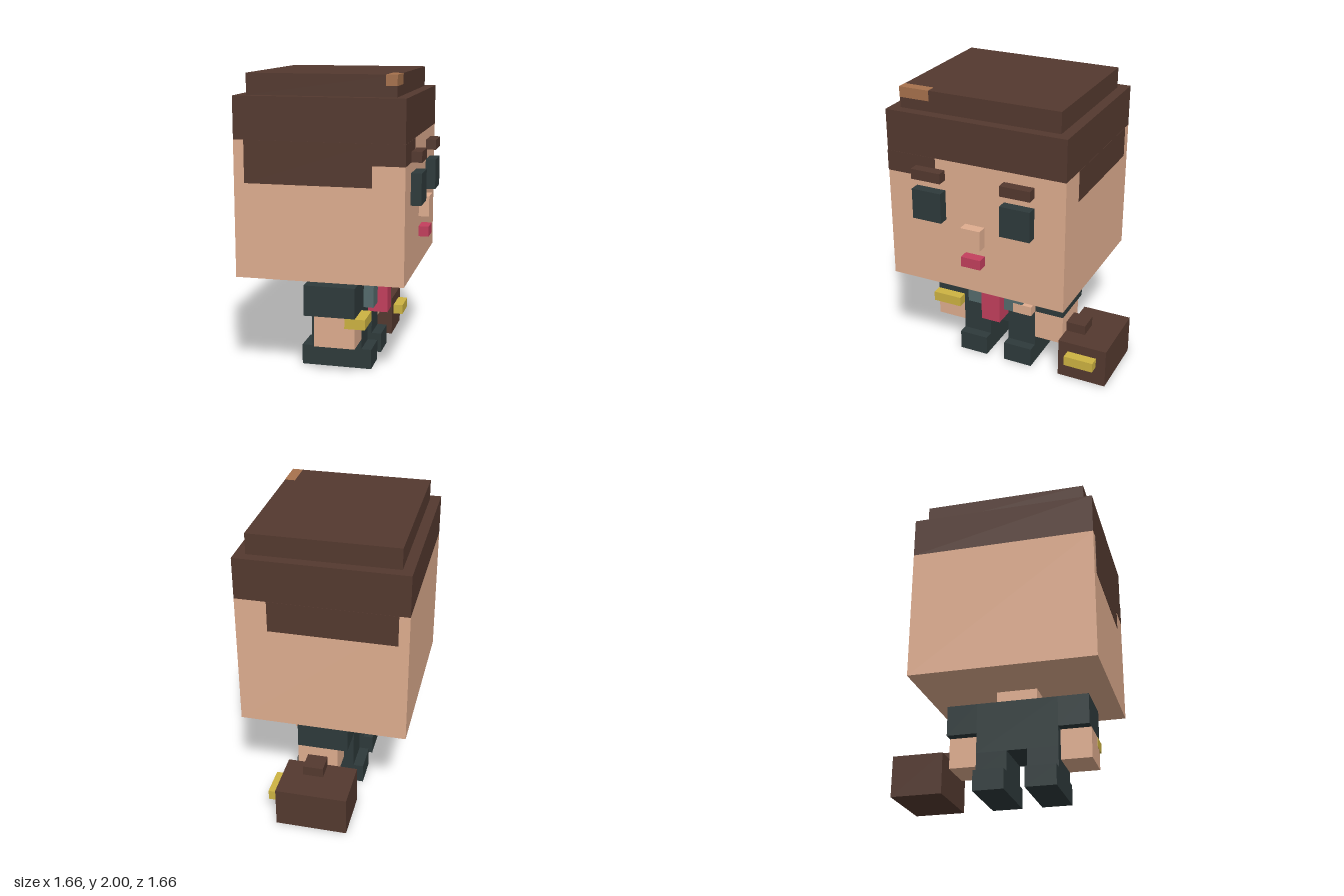
import * as THREE from 'three';

export function createModel() {
  const mat = (name, color) => {
    const m = new THREE.MeshStandardMaterial({ color });
    m.name = name;
    return m;
  };
  const skin = mat('skin', 0xdfad8f);
  const brown = mat('darkBrown', 0x54392f);
  const streak = mat('hairStreak', 0xa7724d);
  const suit = mat('suit', 0x2e3a3b);
  const lapelMat = mat('lapel', 0x556b6d);
  const red = mat('red', 0xc33f5d);
  const gold = mat('gold', 0xcdb342);

  // Figure is laid out on a block grid: 29 blocks tall, turned 45 degrees
  const figure = new THREE.Group();
  figure.name = 'figure';
  figure.scale.setScalar(2 / 29);
  figure.rotation.y = Math.PI / 4;

  // Box from its min and max along each axis
  const box = (name, material, [x0, x1], [y0, y1], [z0, z1]) => {
    const mesh = new THREE.Mesh(new THREE.BoxGeometry(x1 - x0, y1 - y0, z1 - z0), material);
    mesh.position.set((x0 + x1) / 2, (y0 + y1) / 2, (z0 + z1) / 2);
    mesh.name = name;
    figure.add(mesh);
  };
  // Mirrored pair of boxes
  const pair = (name, material, [x0, x1], y, z) => {
    box(name + 'Left', material, [x0, x1], y, z);
    box(name + 'Right', material, [-x1, -x0], y, z);
  };
  const e = 0.03;

  // Head and hair
  box('head', skin, [-9, 9], [10, 23], [-8, 8]);
  box('hair', brown, [-9, 9], [23, 27], [-8, 8]);
  box('hairTop', brown, [-8, 8], [27, 29], [-7, 7]);
  box('hairStreak', streak, [-8 - e, -5], [28, 29 + e / 10], [6, 7 + e]);
  box('fringe', brown, [-9 - e, -4], [21, 23], [8, 8 + e]);
  box('sideburnFrontRight', brown, [-9 - e, -9], [21, 23], [5, 8 + e]);
  box('sideHairRight', brown, [-9 - e, -9], [19, 23], [-7, 5]);
  box('sideHairLeft', brown, [9, 9 + e], [20, 23], [-7, 5]);

  // Face
  pair('eye', suit, [3, 6], [17, 20], [8, 9]);
  pair('eyebrow', brown, [3, 6], [21, 22], [8, 9]);
  box('nose', skin, [-1, 1], [15, 17], [8, 9]);
  box('mouth', red, [-1, 1], [13, 14], [8, 9]);

  // Body
  box('neck', skin, [-2, 2], [9, 10], [-2, 2]);
  box('torso', suit, [-4, 4], [4, 9], [-2, 3]);
  pair('leg', suit, [1, 4], [2, 4], [-2, 3]);
  pair('shoe', suit, [1, 4], [0, 2], [-3, 4]);
  pair('sleeve', suit, [4, 7], [6, 9], [-2, 3]);
  pair('forearm', skin, [4, 7], [3, 6], [-1, 3]);

  // Clothing details
  pair('lapel', lapelMat, [1, 3], [6, 9], [3, 4]);
  pair('collarOpening', skin, [1 - e, 1], [8, 9], [3, 4]);
  box('tie', red, [-1, 1], [5, 8], [3, 5]);
  box('pocketSquare', skin, [2, 4], [6, 7], [3, 4 + e]);
  box('watch', gold, [-7 - e, -4], [5, 6], [2, 4]);

  // Briefcase
  box('briefcase', brown, [7, 12], [0, 4], [-3, 4]);
  box('briefcaseHandle', brown, [7, 9], [4, 5], [0, 2]);
  box('briefcaseClasp', gold, [8, 11], [2, 3], [4, 5]);

  const model = new THREE.Group();
  model.name = 'blockFigure';
  model.add(figure);
  return model;
}
